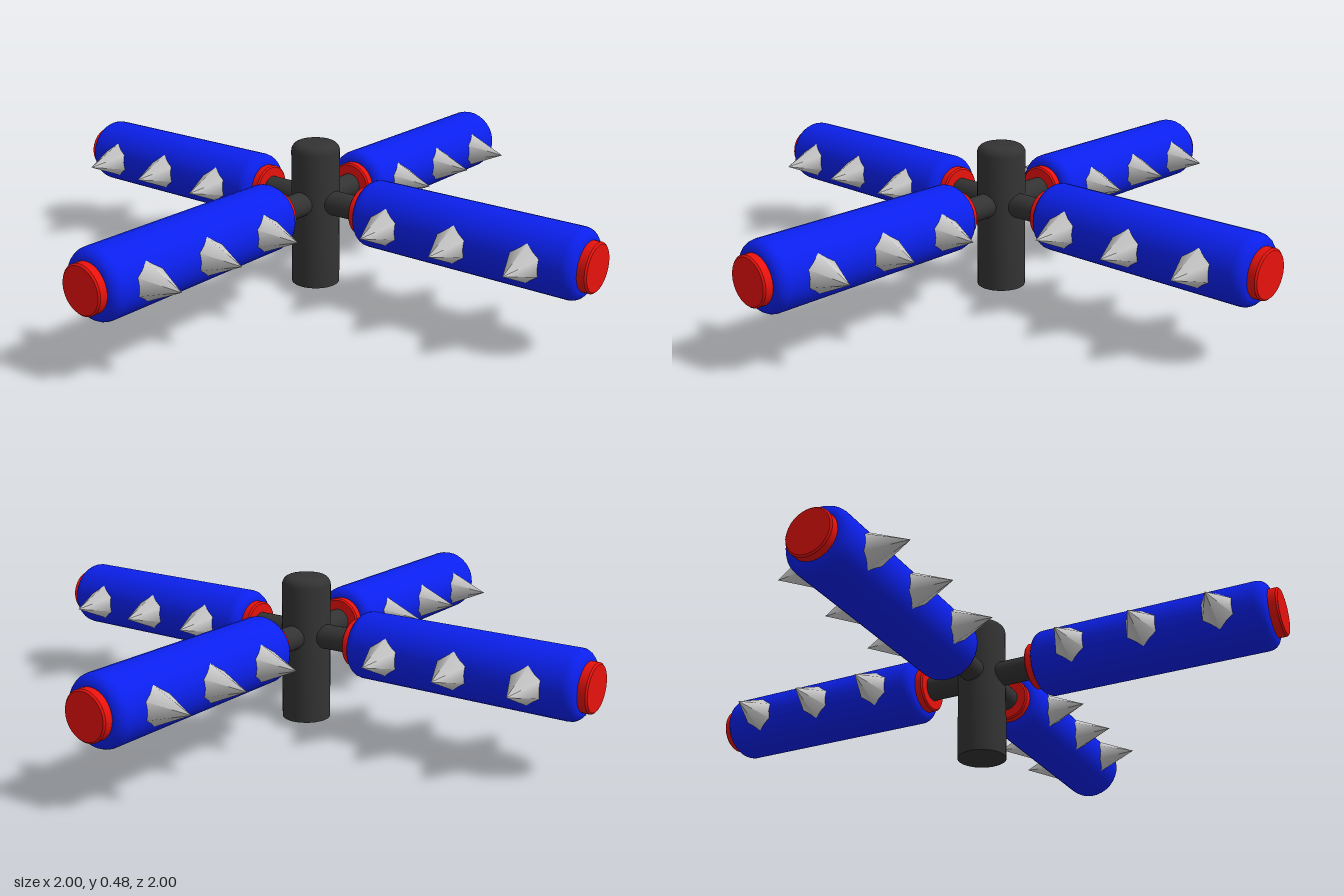
import * as THREE from 'three';
import { toCreasedNormals } from 'three/addons/utils/BufferGeometryUtils.js';

const mat = (color) => new THREE.MeshStandardMaterial({ color });
const AXIS_Y = 0.285;

// Solid of revolution about y from [radius, height] pairs, with sharp edges kept
function turned(points, sides = 32) {
  const profile = points.map(([r, y]) => new THREE.Vector2(r, y));
  return toCreasedNormals(new THREE.LatheGeometry(profile, sides), 0.6);
}

// Quarter-round corner points from the side of a cylinder to its top
function roundTop(radius, top, bevel, steps = 5) {
  return Array.from({ length: steps + 1 }, (_, i) => {
    const a = (i / steps) * Math.PI / 2;
    return [radius - bevel + bevel * Math.cos(a), top - bevel + bevel * Math.sin(a)];
  });
}

function named(name, geometry, material) {
  const mesh = new THREE.Mesh(geometry, material);
  mesh.name = name;
  return mesh;
}

export function createModel() {
  const model = new THREE.Group();
  model.name = 'spikedSpinner';
  const dark = mat(0x333333), blue = mat(0x0b20ee), red = mat(0xe8120c), grey = mat(0xcccccc);

  // Central post with a rounded top
  model.add(named('post', turned([[0, 0], [0.079, 0], ...roundTop(0.079, 0.478, 0.03), [0, 0.478]]), dark));

  // Shared arm geometry, laid along +x
  const alongX = (g) => g.rotateZ(-Math.PI / 2);
  const shaft = alongX(new THREE.CylinderGeometry(0.04, 0.04, 0.25, 24).translate(0, 0.125, 0));
  const half = 0.38;
  const end = roundTop(0.107, half, 0.035);
  const start = end.map(([r, y]) => [r, -y]).reverse();
  const roller = alongX(turned([[0, -half], ...start, ...end, [0, half]]).translate(0, 0.592, 0));
  const core = alongX(turned([
    [0, 0.186], [0.07, 0.186], [0.075, 0.191], [0.075, 0.995], [0.07, 1], [0, 1],
  ]));
  const spike = new THREE.ConeGeometry(0.06, 0.132, 6).translate(0, 0.154, 0).rotateX(Math.PI / 2);

  // Spike positions along each arm: left row, right row
  const rowA = [0.342, 0.583, 0.824], rowB = [0.357, 0.592, 0.828], rowC = [0.36, 0.605, 0.842];
  const arms = [
    { name: 'leftArm', turn: 0, plusZ: rowA, minusZ: rowB },
    { name: 'backArm', turn: 1, plusZ: rowA, minusZ: rowB },
    { name: 'rightArm', turn: 2, plusZ: rowB, minusZ: rowC },
    { name: 'frontArm', turn: 3, plusZ: rowB, minusZ: rowC },
  ];

  for (const { name, turn, plusZ, minusZ } of arms) {
    const arm = new THREE.Group();
    arm.name = name;
    arm.add(named('shaft', shaft, dark), named('roller', roller, blue), named('endCaps', core, red));
    [plusZ, minusZ].forEach((row, side) => {
      for (const x of row) {
        const s = named('spike', spike, grey);
        s.position.x = x;
        s.rotation.y = side * Math.PI;
        arm.add(s);
      }
    });
    arm.position.y = AXIS_Y;
    arm.rotation.y = turn * Math.PI / 2;
    model.add(arm);
  }
  return model;
}
